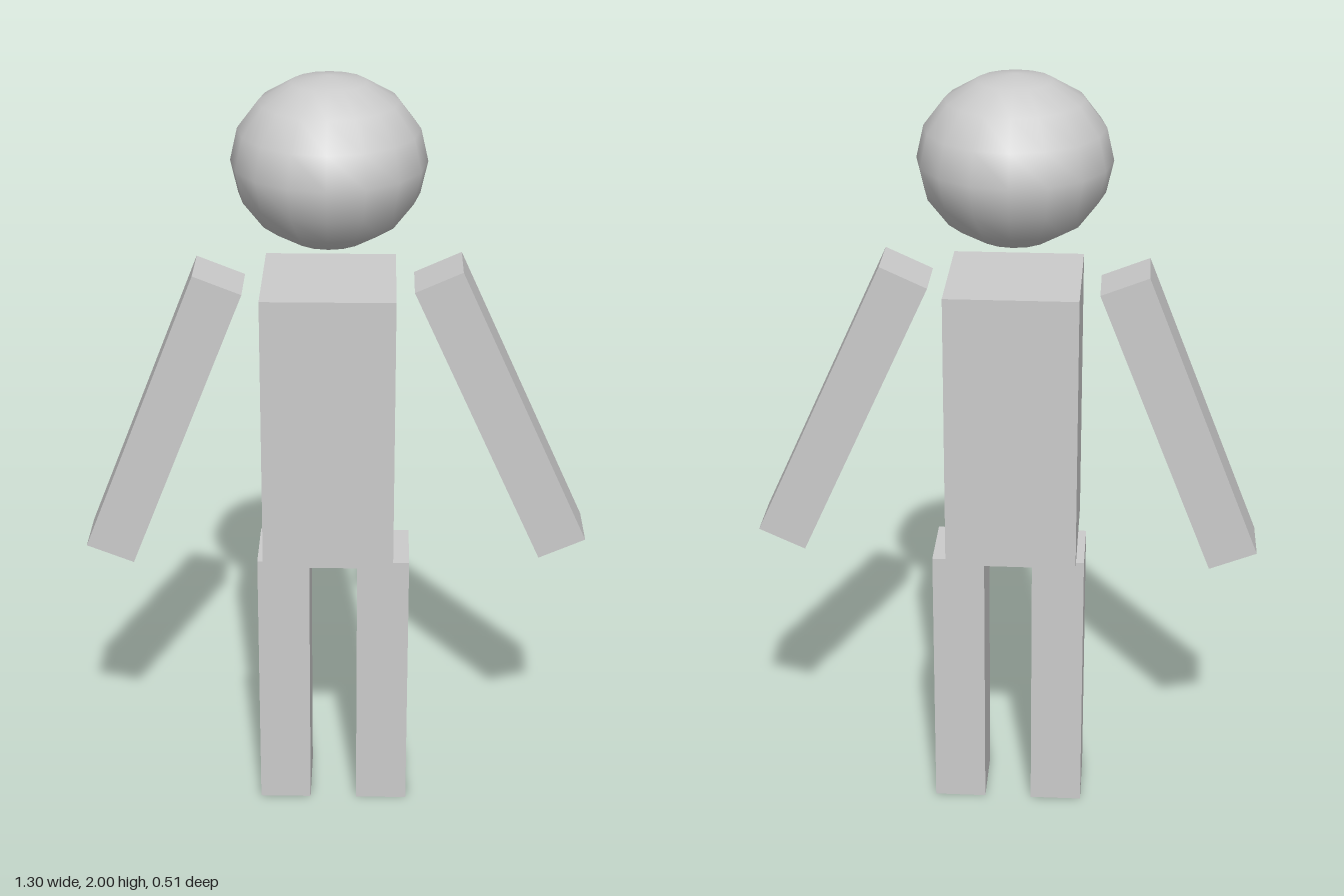
import * as THREE from 'three';

const material = new THREE.MeshStandardMaterial({ color: 0xcccccc });

export function createModel() {
  const model = new THREE.Group();
  model.name = 'blockFigure';

  // Adds a box by size and centre, tilted in the front plane
  const addBox = (name, size, centre, tilt = 0) => {
    const mesh = new THREE.Mesh(new THREE.BoxGeometry(...size), material);
    mesh.name = name;
    mesh.position.set(...centre);
    mesh.rotation.z = THREE.MathUtils.degToRad(tilt);
    model.add(mesh);
  };

  // Head: slightly flattened sphere floating above the torso
  const headGeometry = new THREE.SphereGeometry(1, 16, 8);
  headGeometry.scale(0.242, 0.212, 0.257);
  const head = new THREE.Mesh(headGeometry, material);
  head.name = 'head';
  head.position.set(-0.017, 1.788, 0);
  model.add(head);

  // Torso
  addBox('torso', [0.335, 0.728, 0.355], [-0.017, 1.121, 0]);

  // Arms, splayed outward at slightly different angles
  const armSize = [0.131, 0.806, 0.153];
  addBox('leftArm', armSize, [0.423, 1.134, 0], 24.5);
  addBox('rightArm', armSize, [-0.442, 1.114, 0], -21.6);

  // Legs
  const legSize = [0.136, 0.73, 0.188];
  addBox('leftLeg', legSize, [0.125, 0.365, 0]);
  addBox('rightLeg', legSize, [-0.136, 0.365, 0]);

  return model;
}
